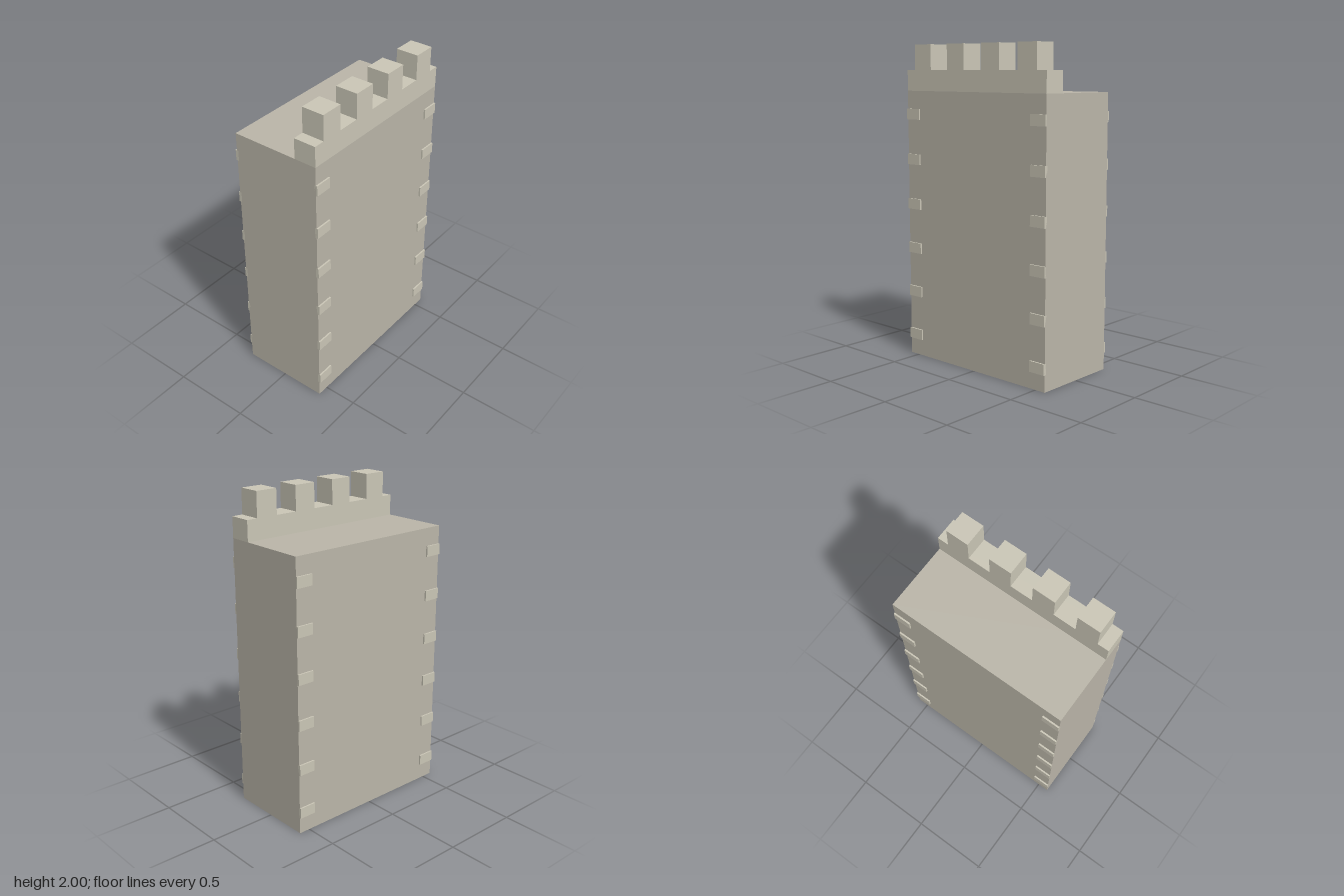
import * as THREE from 'three';

const WIDTH = 1.142, DEPTH = 0.572, BODY_TOP = 1.714, WALL_TOP = 1.843, TOP = 2;
const UNIT = 0.143; // merlon width and parapet thickness

export function createModel() {
  const group = new THREE.Group();
  const wallStone = new THREE.MeshStandardMaterial({ color: 0xbab5a8 });
  const trimStone = new THREE.MeshStandardMaterial({ color: 0xcac6b6 });

  // Box placed by its centre in x and z and by its base in y
  const addBox = (name, material, [w, h, d], [x, base, z]) => {
    const mesh = new THREE.Mesh(new THREE.BoxGeometry(w, h, d), material);
    mesh.name = name;
    mesh.position.set(x, base + h / 2, z);
    group.add(mesh);
  };

  // Main wall block
  addBox('wall', wallStone, [WIDTH, BODY_TOP, DEPTH], [0, 0, 0]);

  // Parapet along the front edge, with four merlons
  const parapetZ = DEPTH / 2 - UNIT / 2;
  addBox('parapet', trimStone, [WIDTH, WALL_TOP - BODY_TOP, UNIT], [0, BODY_TOP, parapetZ]);
  for (let i = 0; i < 4; i++) {
    addBox('merlon', trimStone, [UNIT, TOP - WALL_TOP, UNIT], [(i - 1.5) * 2 * UNIT, WALL_TOP, parapetZ]);
  }

  // Shallow corner stones up both edges of the front and back
  const stone = [0.11, 0.067, 0.02];
  for (const side of [-1, 1]) {
    for (const face of [-1, 1]) {
      for (let row = 0; row < 6; row++) {
        addBox('cornerStone', trimStone, stone,
          [side * (WIDTH / 2 - stone[0] / 2), 0.104 + row * 0.286, face * DEPTH / 2]);
      }
    }
  }

  return group;
}
